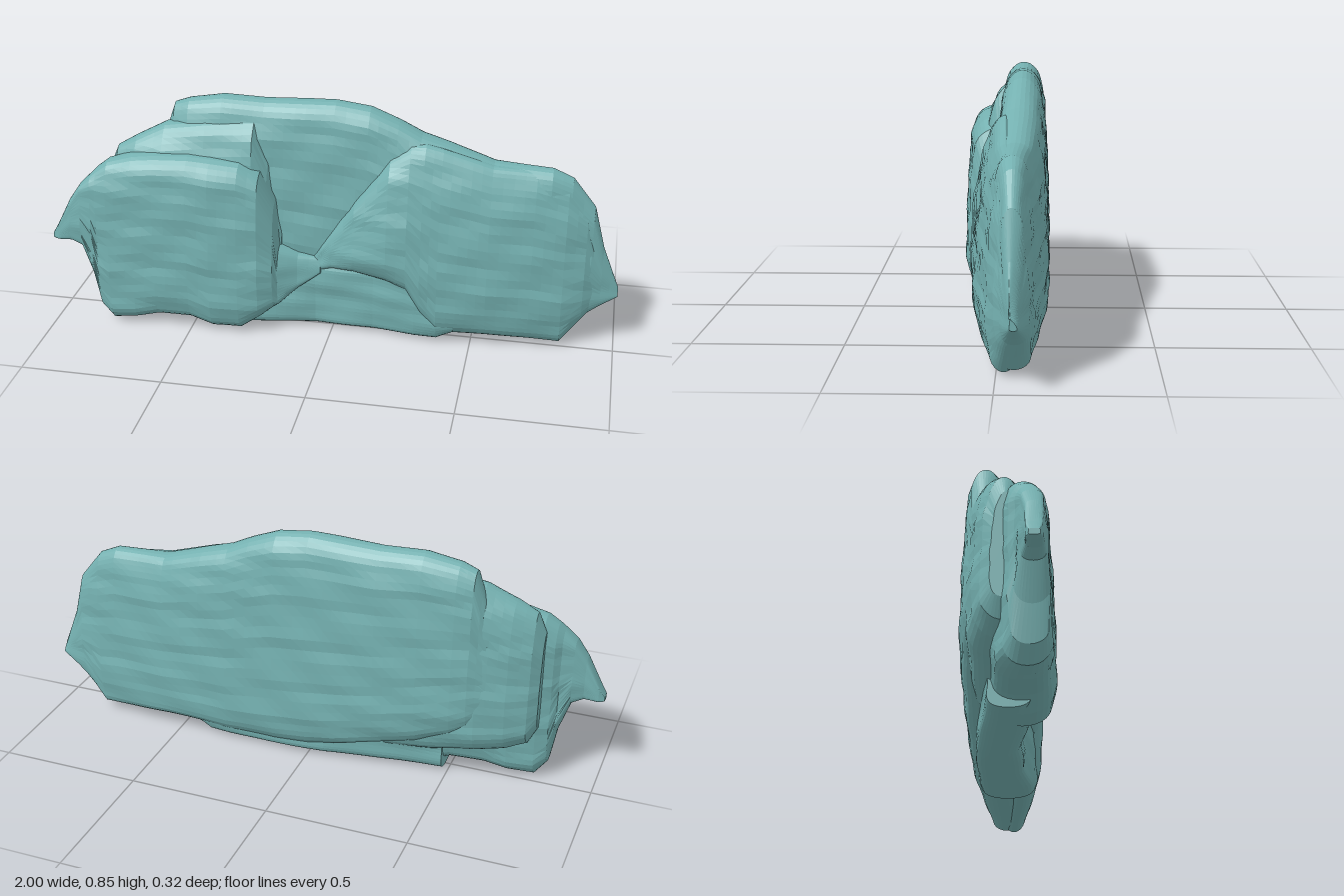
import * as THREE from 'three';

const material = new THREE.MeshStandardMaterial({ color: 0x74b0b0, roughness: 0.9, flatShading: true });

// Stretched ripples that give the stone its horizontal bedding
const ripple = (x, y) => 0.002 * Math.sin(x * 9 + y * 41) + 0.002 * Math.sin(x * 23 - y * 27 + 1) + 0.0015 * Math.sin(y * 83 + x * 5);

// Linear interpolation of station rows [x, yBottom, yTop, zBack, zFront, zTopFront]
function sample(rows, x) {
  let i = 0;
  while (i < rows.length - 2 && rows[i + 1][0] < x) i++;
  const a = rows[i], b = rows[i + 1];
  const t = (x - a[0]) / (b[0] - a[0]);
  return a.map((v, k) => v + (b[k] - v) * t);
}

// Closed slab lofted along x; power sets how square its rims are, backLean tips the back forward at the top
function slab(name, rows, { power = 6, backLean = 0 } = {}) {
  const step = 0.035, around = 60;
  const xs = [];
  for (let i = 0; i < rows.length - 1; i++) {
    const x0 = rows[i][0], x1 = rows[i + 1][0];
    const n = Math.max(1, Math.round((x1 - x0) / step));
    for (let k = 0; k < n; k++) xs.push(x0 + (x1 - x0) * k / n);
  }
  xs.push(rows[rows.length - 1][0]);
  const pos = [], index = [];
  for (const x of xs) {
    const [, yb, yt, zb, zf, zt] = sample(rows, x);
    for (let j = 0; j < around; j++) {
      // up the front face, then down the back, closer together near the rims
      const q = j / around * 4, side = q < 2 ? 1 : -1;
      const h = side * Math.sin(((q % 2) - 1) * Math.PI / 2);
      const w = side * Math.sqrt(Math.max(0, 1 - Math.pow(Math.abs(h), power)));
      const t = (h + 1) / 2, lean = Math.pow(t, 2.2);
      const y = yb + (yt - yb) * t;
      const front = zf + (zt - zf) * lean, back = zb + backLean * lean;
      const mid = (front + back) / 2, half = (front - back) / 2;
      pos.push(x, y, mid + half * w + w * ripple(x, y) * Math.min(1, Math.abs(half) * 20));
    }
  }
  for (let i = 0; i < xs.length - 1; i++) for (let j = 0; j < around; j++) {
    const a = i * around + j, b = i * around + (j + 1) % around;
    index.push(a, a + around, b, b, a + around, b + around);
  }
  // End caps
  for (const end of [0, xs.length - 1]) {
    const c = pos.length / 3, o = end * around;
    const [, yb, yt, zb, zf] = sample(rows, xs[end]);
    pos.push(xs[end], (yb + yt) / 2, (zb + zf) / 2);
    for (let j = 0; j < around; j++) {
      const a = o + j, b = o + (j + 1) % around;
      if (end === 0) index.push(c, a, b); else index.push(c, b, a);
    }
  }
  const g = new THREE.BufferGeometry();
  g.setAttribute('position', new THREE.Float32BufferAttribute(pos, 3));
  g.setIndex(index);
  g.computeVertexNormals();
  const mesh = new THREE.Mesh(g, material);
  mesh.name = name;
  return mesh;
}

export function createModel() {
  const group = new THREE.Group();
  group.name = 'rockOutcrop';

  // Tall back slab running the whole width, its lower edge rising on one side
  group.add(slab('backSlab', [
    [-0.64, 0.28, 0.62, -0.11, -0.03, -0.03],
    [-0.60, 0.24, 0.73, -0.125, -0.01, -0.03],
    [-0.575, 0.21, 0.80, -0.135, 0.01, -0.02],
    [-0.52, 0.18, 0.82, -0.145, 0.03, -0.005],
    [-0.40, 0.13, 0.84, -0.155, 0.04, 0.0],
    [-0.25, 0.09, 0.835, -0.16, 0.04, 0.0],
    [-0.10, 0.05, 0.842, -0.16, 0.033, 0.0],
    [0.00, 0.03, 0.845, -0.16, 0.033, 0.0],
    [0.12, 0.02, 0.83, -0.16, 0.035, 0.0],
    [0.22, 0.02, 0.79, -0.16, 0.035, 0.005],
    [0.30, 0.02, 0.75, -0.16, 0.04, 0.01],
    [0.40, 0.03, 0.72, -0.158, 0.045, 0.01],
    [0.55, 0.03, 0.67, -0.145, 0.04, 0.01],
    [0.75, 0.02, 0.66, -0.125, 0.025, 0.0],
    [0.82, 0.02, 0.63, -0.118, 0.01, -0.01],
    [0.90, 0.12, 0.53, -0.105, -0.01, -0.025],
    [0.94, 0.15, 0.38, -0.09, -0.025, -0.035],
    [1.00, 0.19, 0.23, -0.07, -0.045, -0.05],
  ], { power: 9, backLean: 0.03 }));

  // Stepped layer between the back slab and the front block
  group.add(slab('middleLayer', [
    [-0.80, 0.22, 0.58, -0.04, 0.05, 0.03],
    [-0.77, 0.16, 0.65, -0.07, 0.07, 0.05],
    [-0.70, 0.13, 0.69, -0.10, 0.10, 0.06],
    [-0.60, 0.11, 0.74, -0.125, 0.12, 0.05],
    [-0.45, 0.08, 0.765, -0.13, 0.12, 0.045],
    [-0.28, 0.06, 0.78, -0.13, 0.11, 0.035],
    [-0.23, 0.06, 0.66, -0.10, 0.08, 0.03],
    [-0.18, 0.06, 0.42, -0.10, 0.05, 0.03],
  ], { backLean: 0.03 }));

  // Thick block standing forward, its toe undercut and running into the middle
  group.add(slab('frontRightBlock', [
    [-1.00, 0.315, 0.335, 0.085, 0.12, 0.12],
    [-0.98, 0.31, 0.37, 0.075, 0.13, 0.125],
    [-0.93, 0.31, 0.47, 0.07, 0.135, 0.13],
    [-0.89, 0.29, 0.53, 0.055, 0.14, 0.13],
    [-0.85, 0.17, 0.57, 0.04, 0.145, 0.13],
    [-0.83, 0.05, 0.59, 0.02, 0.148, 0.13],
    [-0.79, 0.00, 0.62, 0.0, 0.153, 0.13],
    [-0.70, 0.01, 0.645, -0.03, 0.157, 0.13],
    [-0.62, 0.03, 0.655, -0.045, 0.158, 0.13],
    [-0.50, 0.03, 0.66, -0.055, 0.158, 0.13],
    [-0.42, 0.00, 0.655, -0.06, 0.158, 0.13],
    [-0.32, 0.00, 0.645, -0.06, 0.152, 0.12],
    [-0.25, 0.05, 0.61, -0.06, 0.143, 0.11],
    [-0.20, 0.09, 0.50, -0.06, 0.12, 0.08],
    [-0.185, 0.10, 0.33, -0.06, 0.105, 0.08],
    [-0.12, 0.16, 0.30, -0.06, 0.07, 0.055],
    [-0.04, 0.22, 0.285, -0.06, 0.045, 0.035],
  ], { power: 9 }));

  // Low recessed foot under the overhang
  group.add(slab('lowFoot', [
    [-0.48, 0.00, 0.25, -0.06, 0.08, 0.07],
    [-0.32, 0.00, 0.30, -0.085, 0.08, 0.06],
    [-0.20, 0.00, 0.30, -0.10, 0.06, 0.04],
    [-0.06, 0.00, 0.27, -0.12, 0.033, 0.033],
    [0.15, 0.00, 0.27, -0.13, 0.04, 0.05],
    [0.30, 0.00, 0.32, -0.135, 0.07, 0.08],
    [0.38, 0.00, 0.32, -0.13, 0.075, 0.08],
    [0.44, 0.03, 0.28, -0.12, 0.07, 0.07],
  ], { power: 9 }));

  // Swollen block on the other side, undercut near the middle
  group.add(slab('frontLeftBlock', [
    [-0.07, 0.22, 0.29, -0.06, 0.037, 0.03],
    [0.00, 0.24, 0.40, -0.06, 0.055, 0.035],
    [0.08, 0.24, 0.52, -0.06, 0.08, 0.04],
    [0.20, 0.22, 0.68, -0.06, 0.105, 0.035],
    [0.27, 0.19, 0.725, -0.06, 0.106, 0.03],
    [0.32, 0.10, 0.728, -0.06, 0.104, 0.03],
    [0.38, 0.03, 0.715, -0.06, 0.10, 0.03],
    [0.55, 0.03, 0.665, -0.07, 0.083, 0.025],
    [0.70, 0.02, 0.655, -0.08, 0.056, 0.01],
    [0.81, 0.01, 0.62, -0.08, 0.033, 0.0],
    [0.88, 0.10, 0.54, -0.08, 0.007, -0.02],
    [0.92, 0.15, 0.40, -0.07, -0.02, -0.035],
  ], { power: 5 }));

  return group;
}
